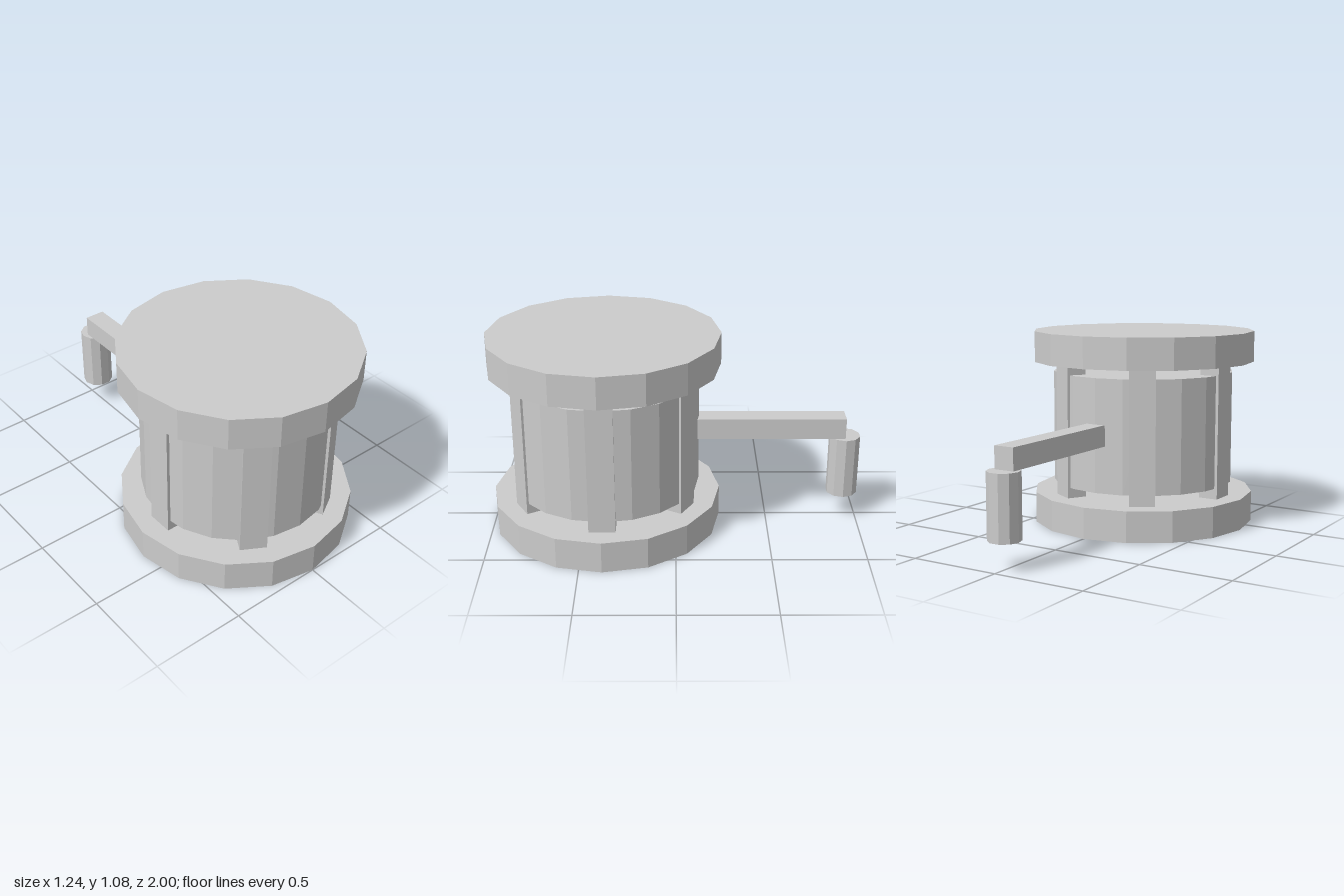
import * as THREE from 'three';

export function createModel() {
  const model = new THREE.Group();
  model.name = 'crankWinch';
  const grey = new THREE.MeshStandardMaterial({ color: 0xcccccc, flatShading: true });
  grey.name = 'plainGrey';
  const axisZ = 0.38; // the drum's upright axis

  function add(parent, name, geometry, x, y, z) {
    const mesh = new THREE.Mesh(geometry, grey);
    mesh.name = name;
    mesh.position.set(x, y, z);
    parent.add(mesh);
    return mesh;
  }

  const prism = (radius, height, sides) =>
    new THREE.CylinderGeometry(radius, radius, height, sides);

  // Bottom and top flanges
  add(model, 'bottomFlange', prism(0.62, 0.17, 16), 0, 0.085, axisZ);
  add(model, 'topFlange', prism(0.62, 0.17, 16), 0, 0.99, axisZ);

  // Drum floating between the flanges
  add(model, 'drum', prism(0.505, 0.62, 20), 0, 0.538, axisZ);

  // Six posts joining the flanges, each just proud of the drum
  const posts = new THREE.Group();
  posts.name = 'posts';
  posts.position.z = axisZ;
  model.add(posts);
  const postGeometry = new THREE.BoxGeometry(0.11, 0.735, 0.14);
  for (let i = 0; i < 6; i++) {
    const a = (i * Math.PI) / 3;
    const post = add(posts, 'post', postGeometry,
      0.455 * Math.cos(a), 0.5375, -0.455 * Math.sin(a));
    post.rotation.y = a;
  }

  // Crank arm pointing backwards, with the handle hanging from its end
  add(model, 'crankArm', new THREE.BoxGeometry(0.112, 0.115, 0.807), 0, 0.5425, -0.5135);
  const handle = add(model, 'crankHandle', prism(0.085, 0.34, 10), 0, 0.315, -0.919);
  handle.rotation.y = Math.PI / 2;

  return model;
}
